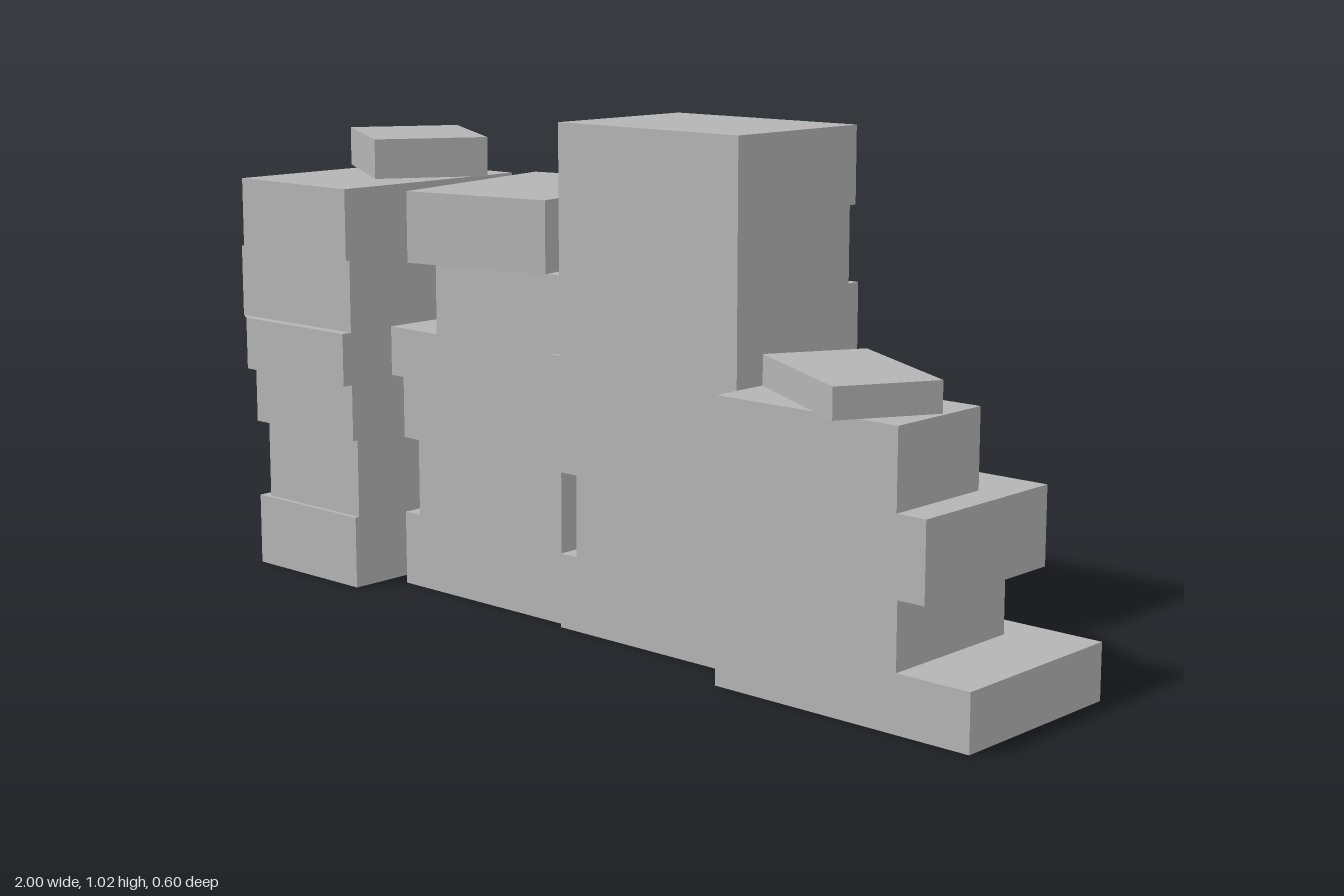
import * as THREE from 'three';

const stone = new THREE.MeshStandardMaterial({ color: 0xb4b4b4, side: THREE.DoubleSide, flatShading: true });
stone.name = 'plain grey';

// Open-bottomed stepped shell; each layer is [top y, x min, x max, z min, z max]
function stack(name, layers) {
  const pos = [];
  const loop = (y, [, x0, x1, z0, z1]) => [[x0, y, z1], [x1, y, z1], [x1, y, z0], [x0, y, z0]];
  const quad = (a, b, c, d) => pos.push(...a, ...b, ...c, ...a, ...c, ...d);
  const rings = [];
  let y = 0;
  for (const layer of layers) {
    rings.push(loop(y, layer), loop(layer[0], layer));
    y = layer[0];
  }
  // Walls and the ledges between layers
  for (let r = 0; r < rings.length - 1; r++) {
    for (let i = 0; i < 4; i++) {
      const j = (i + 1) % 4;
      quad(rings[r][i], rings[r][j], rings[r + 1][j], rings[r + 1][i]);
    }
  }
  quad(...rings[rings.length - 1]); // top
  const geo = new THREE.BufferGeometry();
  geo.setAttribute('position', new THREE.Float32BufferAttribute(pos, 3));
  geo.computeVertexNormals();
  const mesh = new THREE.Mesh(geo, stone);
  mesh.name = name;
  return mesh;
}

// Loose turned block lying on a stack
function block(name, w, d, y0, y1, x, z, degrees) {
  const mesh = new THREE.Mesh(new THREE.BoxGeometry(w, y1 - y0, d), stone);
  mesh.position.set(x, (y0 + y1) / 2, z);
  mesh.rotation.y = THREE.MathUtils.degToRad(degrees);
  mesh.name = name;
  return mesh;
}

export function createModel() {
  const model = new THREE.Group();
  model.name = 'stackedBlocks';
  model.add(
    stack('rightEndStack', [
      [0.153, -0.915, -0.593, -0.203, 0.26],
      [0.32, -0.89, -0.593, -0.203, 0.25],
      [0.44, -0.915, -0.593, -0.203, 0.262],
      [0.552, -0.915, -0.593, -0.203, 0.285],
      [0.705, -0.953, -0.593, -0.203, 0.262],
      [0.855, -0.93, -0.59, -0.208, 0.274],
    ]),
    block('rightEndTopBlock', 0.348, 0.247, 0.855, 0.94, -0.787, -0.107, -32),

    stack('rightMiddleStack', [
      [0.157, -0.545, -0.075, -0.168, 0.16],
      [0.32, -0.5, -0.075, -0.14, 0.16],
      [0.45, -0.545, -0.075, -0.166, 0.16],
      [0.555, -0.582, -0.075, -0.168, 0.16],
      [0.713, -0.433, -0.072, -0.193, 0.165],
    ]),
    block('rightMiddleTopBlock', 0.337, 0.477, 0.713, 0.86, -0.317, -0.025, 12),

    stack('tallStack', [
      [0.153, -0.06, 0.402, -0.15, 0.178],
      [0.32, -0.015, 0.402, -0.122, 0.178],
      [0.44, -0.065, 0.402, -0.15, 0.178],
      [0.555, -0.085, 0.402, -0.15, 0.178],
      [0.71, -0.06, 0.402, -0.182, 0.178],
      [0.862, -0.06, 0.402, -0.152, 0.178],
      [1.016, -0.06, 0.402, -0.17, 0.178],
    ]),

    stack('leftEndStack', [
      [0.112, 0.422, 0.998, -0.15, 0.258],
      [0.243, 0.422, 0.84, -0.068, 0.258],
      [0.396, 0.422, 0.898, -0.109, 0.258],
      [0.55, 0.422, 0.835, 0.016, 0.258],
    ]),
    block('leftEndTopBlock', 0.345, 0.208, 0.55, 0.61, 0.626, 0.125, -29.5),
  );
  return model;
}
